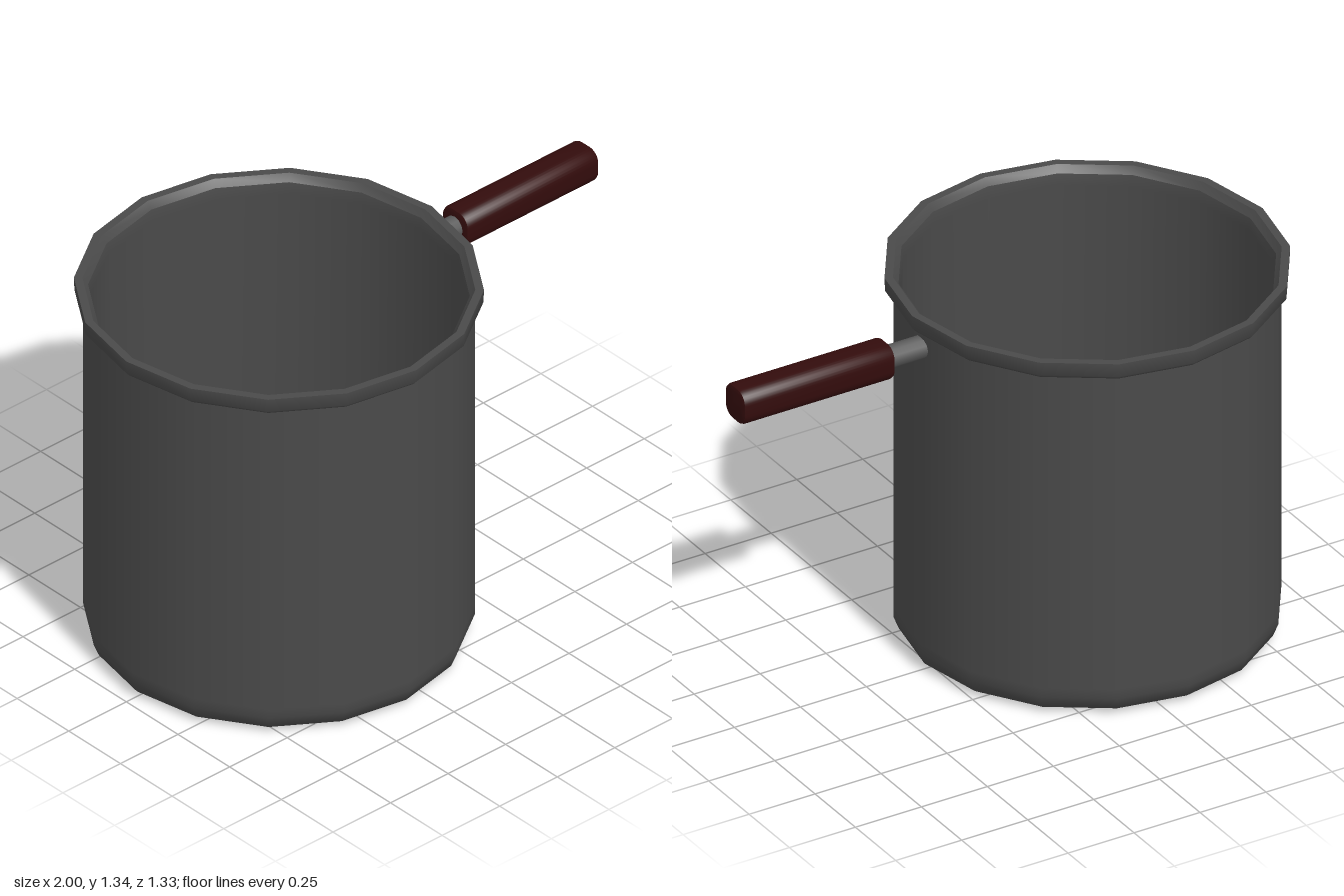
import * as THREE from 'three';
import { toCreasedNormals } from 'three/addons/utils/BufferGeometryUtils.js';

const SIDES = 16;
const POT_X = -0.337;
const HANDLE_Y = 1.21;

// Turned part from [radius, height] pairs
function lathe(profile) {
  return new THREE.LatheGeometry(profile.map(([r, y]) => new THREE.Vector2(r, y)), SIDES);
}

// Square with rounded corners, for the grip's cross-section
function roundedSquare(h, r) {
  const s = new THREE.Shape();
  const c = h - r;
  s.absarc(c, c, r, 0, Math.PI / 2);
  s.absarc(-c, c, r, Math.PI / 2, Math.PI);
  s.absarc(-c, -c, r, Math.PI, Math.PI * 1.5);
  s.absarc(c, -c, r, Math.PI * 1.5, Math.PI * 2);
  return s;
}

export function createModel() {
  const model = new THREE.Group();
  const potMetal = new THREE.MeshStandardMaterial({ name: 'dark pot metal', color: 0x4a4a4a });
  const stemMetal = new THREE.MeshStandardMaterial({ name: 'grey stem metal', color: 0x5a5a5a });
  const gripRed = new THREE.MeshStandardMaterial({ name: 'dark red grip', color: 0x330c0c });

  const add = (name, geometry, material, x, y) => {
    const mesh = new THREE.Mesh(geometry, material);
    mesh.name = name;
    mesh.position.set(x, y, 0);
    model.add(mesh);
  };

  // Outer wall and base, with a soft bottom edge
  add('potOuterWall', lathe([
    [0, 0], [0.53, 0], [0.575, 0.003], [0.617, 0.02], [0.635, 0.065], [0.635, 0.1], [0.635, 1.28],
  ]), potMetal, POT_X, 0);

  // Rolled rim
  add('rim', toCreasedNormals(lathe([
    [0.63, 1.272], [0.65, 1.274], [0.662, 1.287], [0.664, 1.335], [0.636, 1.335], [0.618, 1.31],
  ]), 0.9), potMetal, POT_X, 0);

  // Inner wall and floor
  add('potInnerWall', lathe([
    [0.618, 1.31], [0.612, 1.27], [0.612, 0.11], [0.612, 0.075], [0.598, 0.04], [0.56, 0.025], [0.52, 0.025], [0, 0.025],
  ]), potMetal, POT_X, 0);

  // Handle stem, running into the wall
  const stem = new THREE.CylinderGeometry(0.039, 0.039, 0.18, 12);
  stem.rotateZ(Math.PI / 2);
  add('handleStem', stem, stemMetal, 0.365, HANDLE_Y);

  // Handle grip with slightly eased ends
  const bevel = 0.012;
  const grip = new THREE.ExtrudeGeometry(roundedSquare(0.063 - bevel, 0.033), {
    depth: 0.574 - 2 * bevel, bevelEnabled: true, bevelThickness: bevel, bevelSize: bevel,
    bevelSegments: 2, curveSegments: 4,
  });
  grip.rotateY(Math.PI / 2);
  add('handleGrip', toCreasedNormals(grip, 0.7), gripRed, 0.426 + bevel, HANDLE_Y);

  return model;
}
